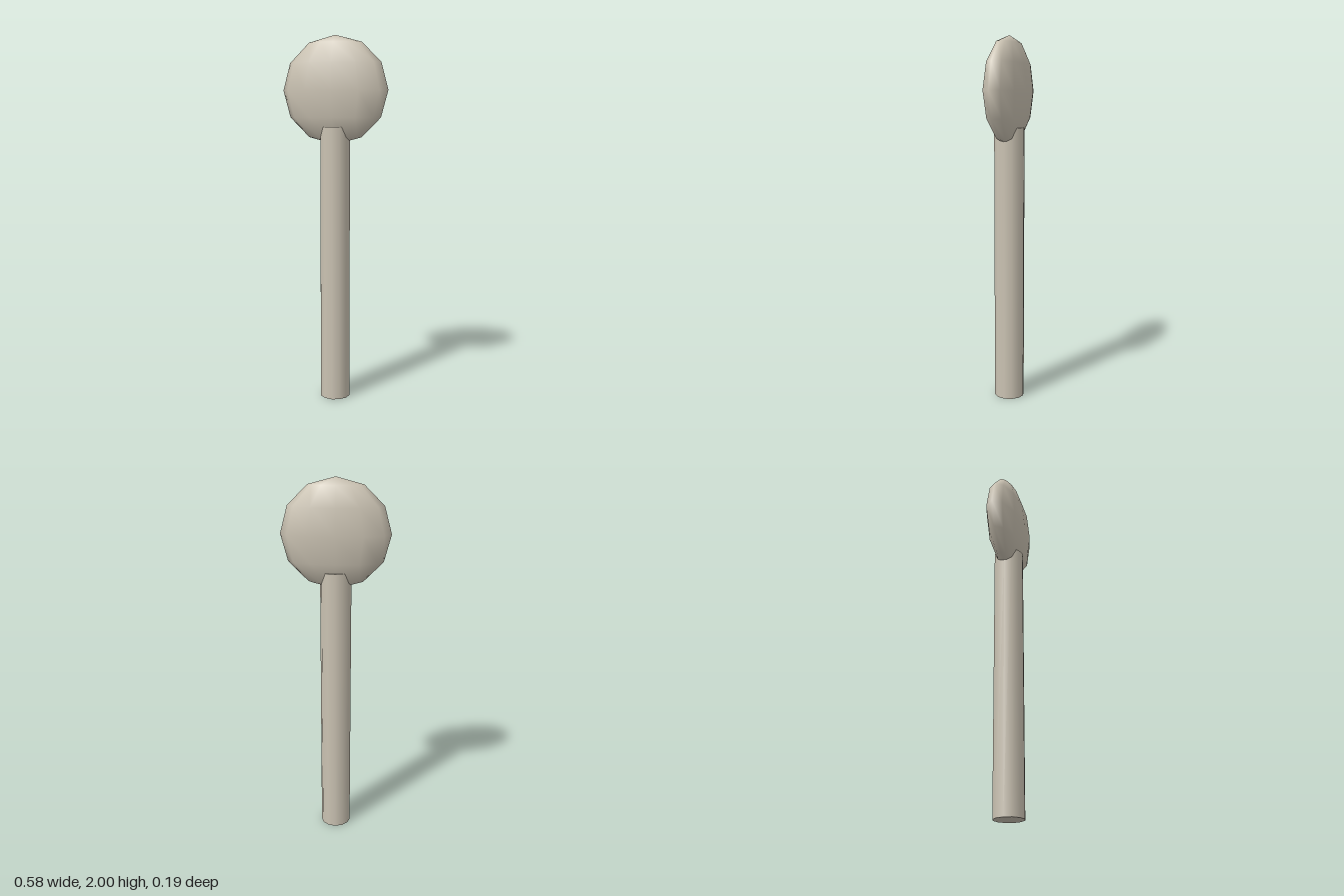
import * as THREE from 'three';

const HEAD_RADIUS = 0.29;
const POST_RADIUS = 0.083;
const POST_HEIGHT = 1.515;

export function createModel() {
  const group = new THREE.Group();
  const stone = new THREE.MeshStandardMaterial({ name: 'warm grey', color: 0xcac2b2 });

  // Straight round post with capped ends
  const post = new THREE.Mesh(
    new THREE.CylinderGeometry(POST_RADIUS, POST_RADIUS, POST_HEIGHT, 12), stone);
  post.name = 'post';
  post.position.y = POST_HEIGHT / 2;

  // Flattened twelve-sided ball sunk into the top of the post
  const headShape = new THREE.SphereGeometry(HEAD_RADIUS, 12, 6);
  headShape.scale(1, 1, 1 / 3);
  const head = new THREE.Mesh(headShape, stone);
  head.name = 'head';
  head.position.y = 2 - HEAD_RADIUS;

  group.add(post, head);
  return group;
}
